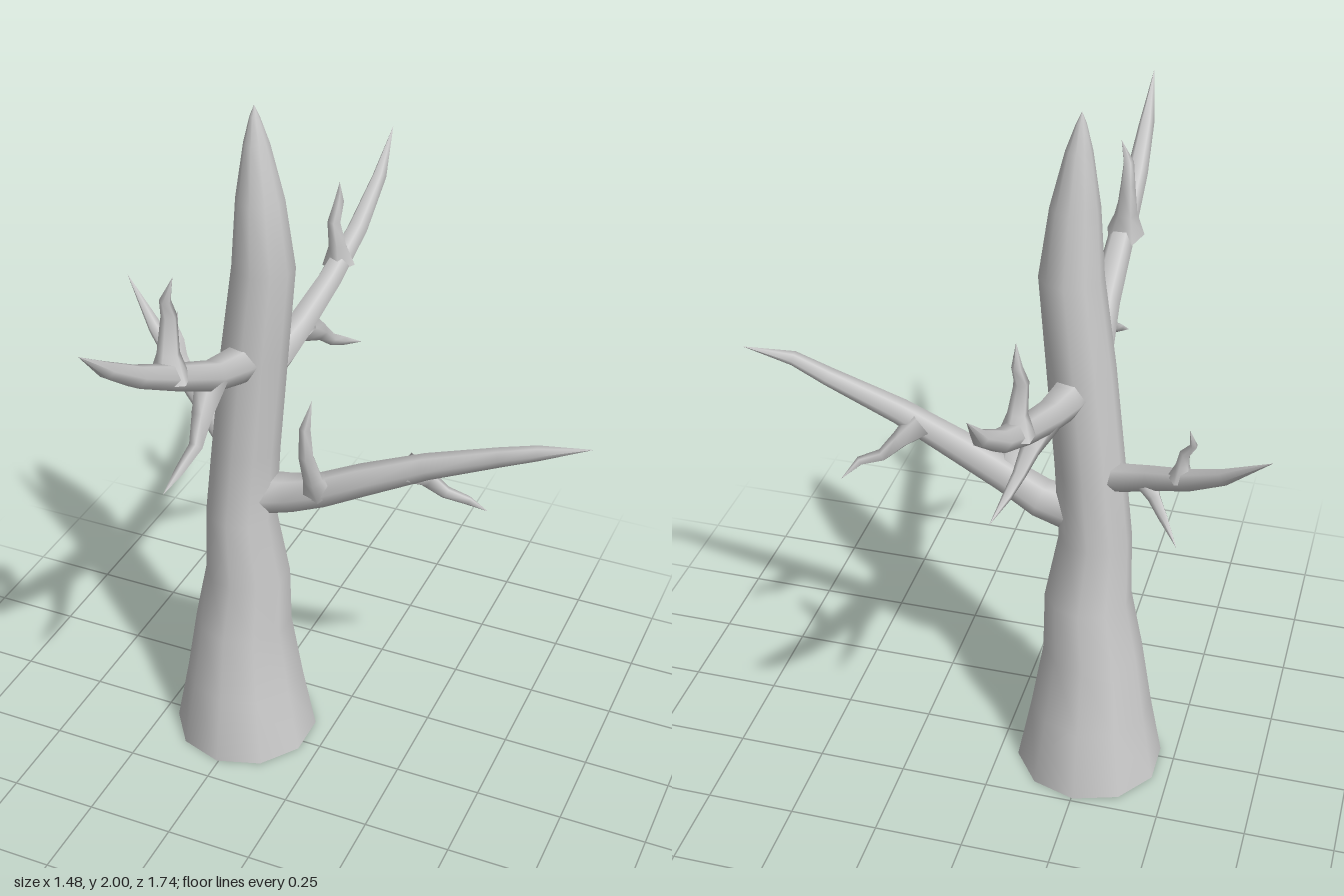
import * as THREE from 'three';

const material = new THREE.MeshStandardMaterial({ color: 0xcccccc, side: THREE.DoubleSide });

// Tapered tube through stations [x, y, z, radius]; the last one closes to a tip.
function limb(name, stations, sides, levelRings = false) {
  const pts = stations.map(([x, y, z]) => new THREE.Vector3(x, y, z));
  const last = pts.length - 1;
  const run = pts[last].clone().sub(pts[0]);
  // Reference axis: the world axis least aligned with the limb
  const a = run.toArray().map(Math.abs);
  const ref = new THREE.Vector3().setComponent(a.indexOf(Math.min(...a)), 1);
  const pos = [], index = [];
  pts.forEach((p, i) => {
    const t = levelRings
      ? new THREE.Vector3(0, 1, 0)
      : pts[Math.min(i + 1, last)].clone().sub(pts[Math.max(i - 1, 0)]).normalize();
    const u = ref.clone().addScaledVector(t, -ref.dot(t)).normalize();
    const v = t.clone().cross(u);
    for (let j = 0; j < sides; j++) {
      const ang = (j / sides) * Math.PI * 2;
      const q = p.clone()
        .addScaledVector(u, Math.cos(ang) * stations[i][3])
        .addScaledVector(v, Math.sin(ang) * stations[i][3]);
      pos.push(q.x, q.y, q.z);
      if (i < last) {
        const b = i * sides + j, c = i * sides + (j + 1) % sides;
        index.push(b, c, b + sides);
        if (i < last - 1) index.push(c, c + sides, b + sides);
      }
    }
  });
  const geo = new THREE.BufferGeometry();
  geo.setAttribute('position', new THREE.Float32BufferAttribute(pos, 3));
  geo.setIndex(index);
  geo.computeVertexNormals();
  const mesh = new THREE.Mesh(geo, material);
  mesh.name = name;
  return mesh;
}

// Each branch has a main limb, one twig reaching up and one hanging down.
const branches = {
  leftBranch: {
    main: [[-0.2, 0.85, -0.03, 0.062], [-0.1, 0.875, -0.03, 0.055], [0, 0.92, -0.015, 0.048],
      [0.12, 0.985, -0.015, 0.045], [0.3, 1.075, -0.015, 0.036], [0.5, 1.155, -0.018, 0.026],
      [0.6, 1.195, -0.015, 0.02], [0.735, 1.225, -0.04, 0]],
    up: [[-0.005, 0.93, 0, 0.045], [-0.005, 0.985, 0.035, 0.028], [-0.01, 1.08, 0.07, 0.021],
      [-0.008, 1.17, 0.08, 0.016], [0.005, 1.25, 0.065, 0]],
    down: [[0.24, 1.05, -0.02, 0.045], [0.29, 1.01, -0.055, 0.026], [0.335, 0.965, -0.075, 0.018],
      [0.395, 0.945, -0.09, 0.013], [0.44, 0.9, -0.125, 0]],
  },
  rightBranch: {
    main: [[-0.24, 0.98, -0.03, 0.045], [-0.33, 1.005, -0.07, 0.038], [-0.42, 1.055, -0.125, 0.033],
      [-0.52, 1.105, -0.185, 0.029], [-0.62, 1.17, -0.245, 0.021], [-0.745, 1.28, -0.32, 0]],
    up: [[-0.5, 1.1, -0.175, 0.034], [-0.505, 1.145, -0.18, 0.018], [-0.51, 1.185, -0.185, 0.014],
      [-0.533, 1.22, -0.2, 0.01], [-0.522, 1.265, -0.205, 0]],
    down: [[-0.4, 1.04, -0.11, 0.034], [-0.43, 1.005, -0.14, 0.018], [-0.46, 0.97, -0.17, 0.013],
      [-0.51, 0.92, -0.23, 0]],
  },
  frontBranch: {
    main: [[-0.2, 1.29, -0.02, 0.055], [-0.215, 1.305, 0.07, 0.05], [-0.205, 1.36, 0.22, 0.042],
      [-0.205, 1.465, 0.42, 0.036], [-0.205, 1.565, 0.6, 0.03], [-0.2, 1.66, 0.74, 0.021],
      [-0.19, 1.765, 0.87, 0]],
    up: [[-0.21, 1.46, 0.43, 0.055], [-0.215, 1.53, 0.42, 0.03], [-0.22, 1.62, 0.4, 0.021],
      [-0.215, 1.675, 0.425, 0.015], [-0.195, 1.74, 0.42, 0]],
    down: [[-0.205, 1.35, 0.22, 0.045], [-0.2, 1.28, 0.29, 0.028], [-0.195, 1.22, 0.34, 0.019],
      [-0.21, 1.18, 0.41, 0.013], [-0.225, 1.145, 0.47, 0]],
  },
  backBranch: {
    main: [[-0.19, 1.24, -0.05, 0.055], [-0.18, 1.25, -0.14, 0.05], [-0.17, 1.275, -0.25, 0.042],
      [-0.155, 1.335, -0.42, 0.036], [-0.145, 1.415, -0.6, 0.03], [-0.14, 1.515, -0.75, 0.021],
      [-0.145, 1.625, -0.865, 0]],
    up: [[-0.155, 1.36, -0.49, 0.048], [-0.155, 1.42, -0.48, 0.026], [-0.16, 1.495, -0.465, 0.019],
      [-0.155, 1.55, -0.49, 0.014], [-0.15, 1.61, -0.48, 0]],
    down: [[-0.165, 1.27, -0.26, 0.045], [-0.145, 1.22, -0.33, 0.026], [-0.13, 1.175, -0.375, 0.018],
      [-0.115, 1.145, -0.43, 0.013], [-0.09, 1.105, -0.51, 0]],
  },
};

export function createModel() {
  const tree = new THREE.Group();
  tree.name = 'bareTree';

  // Flared, slightly crooked trunk, open underneath
  tree.add(limb('trunk', [
    [-0.255, 0, -0.03, 0.21], [-0.255, 0.2, -0.03, 0.172], [-0.255, 0.4, -0.03, 0.14],
    [-0.237, 0.58, -0.028, 0.121], [-0.252, 0.78, -0.026, 0.1], [-0.233, 1.0, -0.027, 0.095],
    [-0.203, 1.3, -0.03, 0.091], [-0.172, 1.56, -0.03, 0.084], [-0.178, 1.75, -0.03, 0.064],
    [-0.185, 1.9, -0.03, 0.034], [-0.189, 1.97, -0.03, 0.013], [-0.19, 2, -0.03, 0],
  ], 10, true));

  for (const [name, { main, up, down }] of Object.entries(branches)) {
    const branch = new THREE.Group();
    branch.name = name;
    branch.add(limb('branchLimb', main, 6), limb('upperTwig', up, 5), limb('lowerTwig', down, 5));
    tree.add(branch);
  }
  return tree;
}
